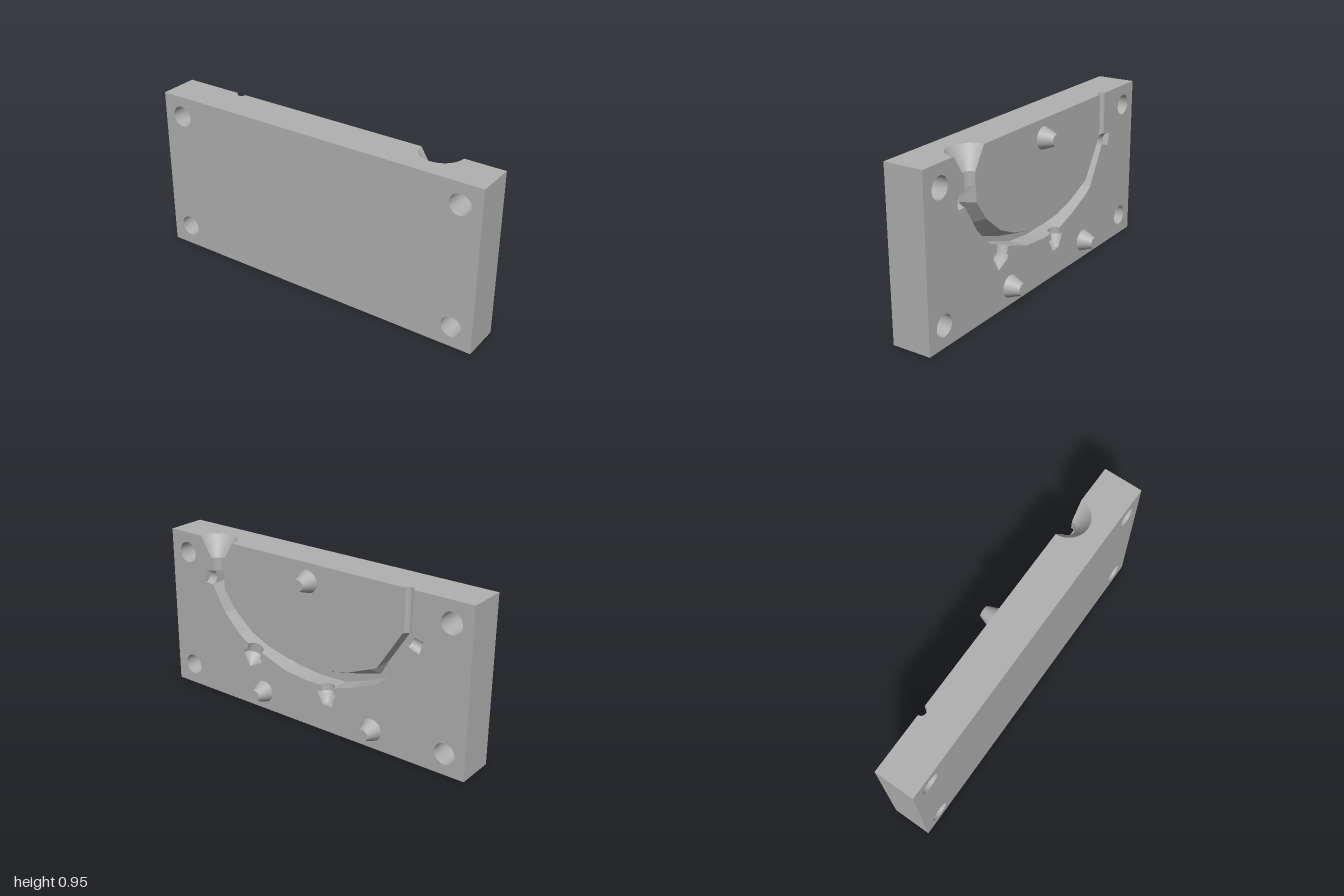
import * as THREE from 'three';

// Built facing +z (u right, y up, depth along z), then turned so the cavity side faces +x.
const FACE = 0.073, BACK = -0.154, THICK = FACE - BACK, TOP = 0.95, DEPTH = 0.11;

export function createModel() {
  const grey = new THREE.MeshStandardMaterial({ color: 0xb0b0b0, side: THREE.DoubleSide });
  grey.name = 'plain grey';
  const body = new THREE.Group();
  body.name = 'mouldHalf';
  const add = (name, geo, x = 0, y = 0, z = 0) => {
    const mesh = new THREE.Mesh(geo, grey);
    mesh.name = name;
    mesh.position.set(x, y, z);
    body.add(mesh);
    return mesh;
  };
  const shapeOf = pts => new THREE.Shape(pts.map(p => new THREE.Vector2(p[0], p[1])));

  // Wall running back from the face along a-b, with half-round notches [centre, radius]
  const wall = (name, a, b, depth, notches = []) => {
    const len = Math.hypot(b[0] - a[0], b[1] - a[1]);
    const s = new THREE.Shape();
    s.moveTo(0, 0);
    for (const [c, r] of notches) {
      s.lineTo(c - r, 0);
      s.absarc(c, 0, r, Math.PI, 0, true);
    }
    s.lineTo(len, 0);
    s.lineTo(len, depth);
    s.lineTo(0, depth);
    const geo = new THREE.ShapeGeometry(s, 16);
    geo.rotateX(-Math.PI / 2).rotateZ(Math.atan2(b[1] - a[1], b[0] - a[0]));
    return add(name, geo, a[0], a[1], FACE);
  };

  // Half-round pocket sunk in the face, one crisp band per profile step
  const pocket = (name, profile, x, y, angle = 0) => {
    for (let i = 1; i < profile.length; i++) {
      const pts = [profile[i - 1], profile[i]].map(p => new THREE.Vector2(p[0], p[1]));
      const geo = new THREE.LatheGeometry(pts, 20, Math.PI / 2, Math.PI);
      add(name, geo.rotateZ(angle), x, y, FACE);
    }
  };

  // Outer edge of the curved channel; a third entry is the barb profile hung on the next segment
  const outer = [
    [-0.695, 0.755, [[0.04, -0.055], [0, -0.055]]],
    [-0.695, 0.675], [-0.6, 0.52], [-0.5, 0.42],
    [-0.43, 0.375, [[0.05, -0.045], [0.067, -0.045], [0.065, -0.07], [0, -0.13]]],
    [-0.335, 0.345], [-0.16, 0.285], [0, 0.268],
    [0.085, 0.27, [[0.045, -0.04], [0.07, -0.04], [0.03, -0.115], [0, -0.115]]],
    [0.175, 0.275], [0.3, 0.315], [0.46, 0.385], [0.51, 0.42],
    [0.64, 0.645, [[0.038, -0.07], [0, -0.07]]],
    [0.657, 0.705],
  ];
  // Inner edge of the channel: on the face, and lower down on its floor
  const inner = [
    [-0.605, 0.755], [-0.6, 0.67], [-0.524, 0.56], [-0.4, 0.455], [-0.28, 0.4], [-0.14, 0.365], [0, 0.353],
    [0.14, 0.365], [0.28, 0.4], [0.41, 0.455], [0.455, 0.475], [0.603, 0.705],
  ];
  const floorEdge = [
    [-0.65, 0.755], [-0.635, 0.66], [-0.54, 0.51], [-0.41, 0.4], [-0.28, 0.355], [-0.14, 0.32], [0, 0.306],
    [0.14, 0.32], [0.28, 0.352], [0.41, 0.39], [0.455, 0.475], [0.603, 0.705],
  ];

  // Channel outer walls and barbs, collecting the cut-out outline for the face
  const cut = [];
  outer.forEach((a, i) => {
    cut.push(a);
    const b = outer[i + 1];
    if (!b) return;
    if (!a[2]) {
      wall('channelOuterWall', a, b, DEPTH);
      return;
    }
    const r = Math.hypot(b[0] - a[0], b[1] - a[1]) / 2;
    const angle = Math.atan2(b[1] - a[1], b[0] - a[0]);
    const cx = (a[0] + b[0]) / 2, cy = (a[1] + b[1]) / 2;
    const profile = [[r, 0], ...a[2]];
    wall('channelOuterWall', a, b, DEPTH, [[r, r]]);
    pocket('barbPocket', profile, cx, cy, angle);
    const place = (x, y) => [
      cx + x * Math.cos(angle) - y * Math.sin(angle),
      cy + x * Math.sin(angle) + y * Math.cos(angle),
    ];
    const left = a[2].map(p => place(-p[0], p[1]));
    const right = a[2].filter(p => p[0] > 0).reverse().map(p => place(p[0], p[1]));
    cut.push(...left, ...right);
  });

  // Channel floor, end walls and sloping inner wall
  add('channelFloor', new THREE.ShapeGeometry(shapeOf([...outer, ...[...floorEdge].reverse()])), 0, 0, FACE - DEPTH);
  wall('channelEndWall', outer[0], inner[0], DEPTH, [[0.045, 0.045]]);
  wall('channelEndWall', inner[inner.length - 1], outer[outer.length - 1], DEPTH, [[0.027, 0.027]]);
  const slope = [];
  for (let i = 1; i < inner.length; i++) {
    const [a, b, c, d] = [inner[i - 1], inner[i], floorEdge[i], floorEdge[i - 1]];
    const A = [...a, FACE], B = [...b, FACE], C = [...c, FACE - DEPTH], D = [...d, FACE - DEPTH];
    slope.push(...A, ...D, ...C, ...A, ...C, ...B);
  }
  const slopeGeo = new THREE.BufferGeometry();
  slopeGeo.setAttribute('position', new THREE.Float32BufferAttribute(slope, 3));
  slopeGeo.computeVertexNormals();
  add('channelInnerWall', slopeGeo);

  // Pouring funnel and air vent
  pocket('pouringFunnel', [[0.12, TOP], [0.045, 0.83], [0.045, 0.755]], -0.65, 0);
  pocket('airVent', [[0.027, TOP], [0.027, 0.705]], 0.63, 0);

  // Front face either side of the channel, and the back face
  const frontOuter = shapeOf([
    [-1, TOP], [-1, 0], [1, 0], [1, TOP], [0.657, TOP],
    ...cut.reverse(), [-0.695, 0.83], [-0.77, TOP],
  ]);
  const frontInner = shapeOf([[-0.53, TOP], [-0.605, 0.83], ...inner, [0.603, TOP]]);
  const back = shapeOf([[-1, 0], [1, 0], [1, TOP], [-1, TOP]]);

  // Through holes in the corners
  for (const x of [-0.88, 0.88]) {
    for (const y of [0.12, 0.83]) {
      const hole = new THREE.Path().absarc(x, y, 0.06, 0, Math.PI * 2, true);
      frontOuter.holes.push(hole);
      back.holes.push(hole);
      const tube = new THREE.CylinderGeometry(0.06, 0.06, THICK, 32, 1, true);
      add('boltHole', tube.rotateX(Math.PI / 2), x, y, (FACE + BACK) / 2);
    }
  }
  add('frontFace', new THREE.ShapeGeometry(frontOuter, 16), 0, 0, FACE);
  add('frontFaceInner', new THREE.ShapeGeometry(frontInner), 0, 0, FACE);
  add('backFace', new THREE.ShapeGeometry(back, 16).rotateY(Math.PI).scale(-1, 1, 1), 0, 0, BACK);
  // keep the back face looking outwards after the mirror
  const backGeo = body.getObjectByName('backFace').geometry;
  backGeo.index.array.reverse();
  backGeo.computeVertexNormals();

  // Edges of the plate
  wall('topEdge', [-1, TOP], [1, TOP], THICK, [[0.35, 0.12], [1.63, 0.027]]);
  wall('bottomEdge', [1, 0], [-1, 0], THICK);
  wall('sideEdge', [-1, 0], [-1, TOP], THICK);
  wall('sideEdge', [1, TOP], [1, 0], THICK);

  // Tapered locating pegs
  for (const [x, y] of [[0, 0.845], [-0.32, 0.108], [0.43, 0.108]]) {
    const peg = new THREE.CylinderGeometry(0.032, 0.063, 0.081, 32);
    add('locatingPeg', peg.rotateX(Math.PI / 2), x, y, FACE + 0.0405);
  }

  body.rotation.y = Math.PI / 2;
  const model = new THREE.Group();
  model.name = 'mould';
  model.add(body);
  return model;
}
